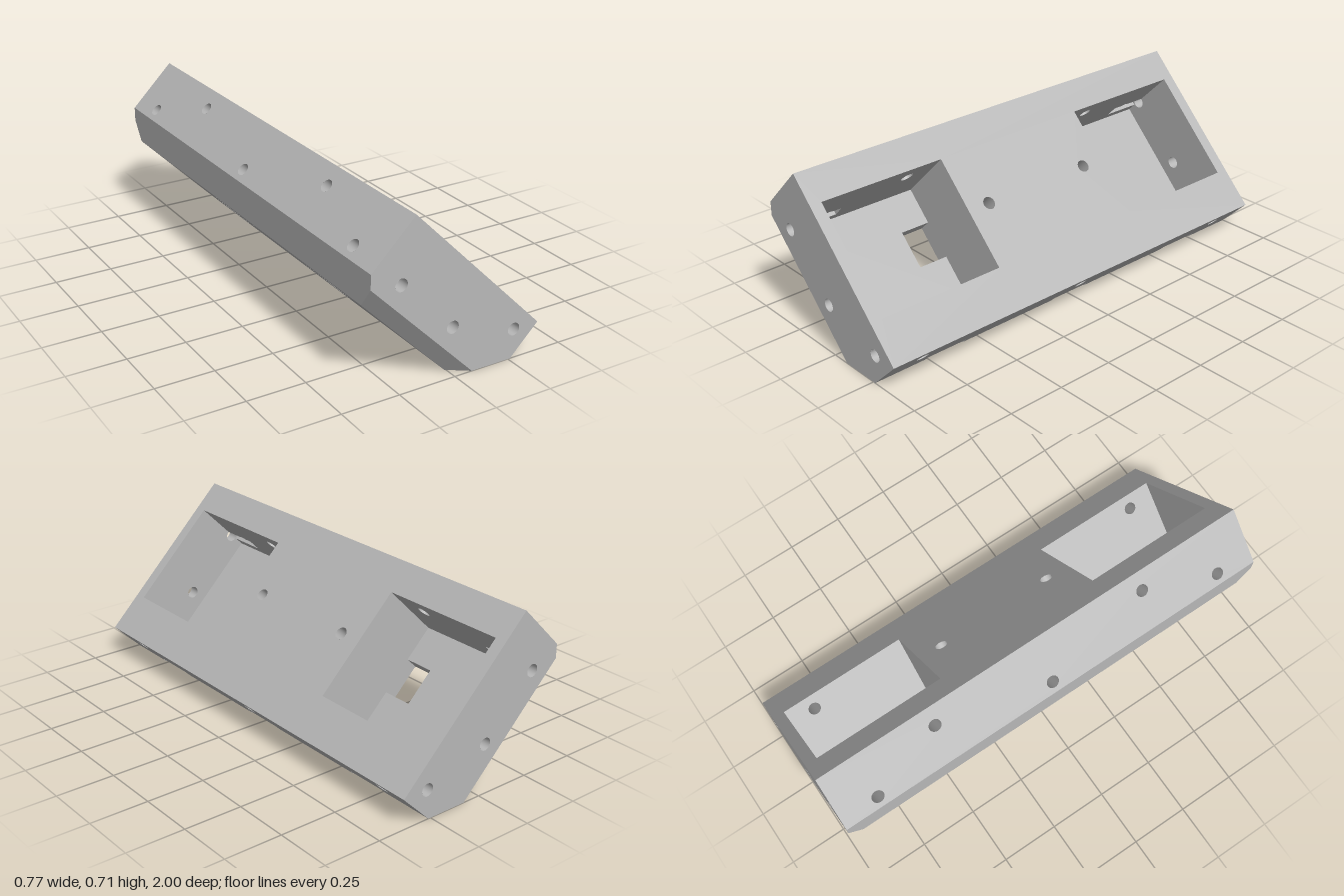
import * as THREE from 'three';

// Local frame: x runs down the tilted slab, y is its thickness, z its length.
const TOP = 0.361, BASE = -0.004, LEFT = -0.643, RIGHT = 0.184, LIP = 0.056;
const R = 0.027;                                               // screw hole radius
const P = { x0: -0.502, x1: -0.0035, y: 0.06, z0: 0.372, z1: 0.948 };  // pocket
const G = { y0: 0.105, y1: 0.167, z0: 0.77, back: -0.572 };    // groove in pocket wall
const SLOT = [-0.343, 0.372, -0.18, 0.508];                    // slot through pocket floor
const NOTCH = { r: 0.095, y: 0.214, z: [-0.667, 0, 0.667] };
const bevelX = (y) => -0.544 - y;

const poly = (pts) => new THREE.Shape(pts.map(([u, v]) => new THREE.Vector2(u, v)));
const rect = (a, b, c, d) => poly([[a, b], [c, b], [c, d], [a, d]]);
const circle = (u, v, r = R) => new THREE.Shape().absarc(u, v, r, 0, Math.PI * 2, false);

export function createModel() {
  const model = new THREE.Group();
  const block = new THREE.Group();
  block.name = 'mountingBlock';
  block.rotation.z = -Math.PI / 4;
  model.add(block);
  const grey = new THREE.MeshStandardMaterial({ color: 0xb8b8b8, side: THREE.DoubleSide });
  grey.name = 'grey';

  const add = (name, geo) => {
    const mesh = new THREE.Mesh(geo, grey);
    mesh.name = name;
    block.add(mesh);
    return mesh;
  };

  // Flat face: a 2D outline with holes, mapped into space and turned to face "out"
  const face = (name, shape, holes, map, out) => {
    shape.holes.push(...holes);
    const geo = new THREE.ShapeGeometry(shape, 16);
    const p = geo.attributes.position;
    for (let i = 0; i < p.count; i++) p.setXYZ(i, ...map(p.getX(i), p.getY(i)));
    geo.computeVertexNormals();
    const n = geo.attributes.normal;
    if (n.getX(0) * out[0] + n.getY(0) * out[1] + n.getZ(0) * out[2] < 0) {
      geo.index.array.reverse();
      geo.computeVertexNormals();
    }
    return add(name, geo);
  };
  const atX = (x, s = 1) => (y, z) => [x, y, z * s];
  const atY = (y, s = 1) => (x, z) => [x, y, z * s];
  const atZ = (z) => (x, y) => [x, y, z];

  // Screw hole lining between two points, with a floor at the second if blind
  const hole = (a, b, blind = false) => {
    const from = new THREE.Vector3(...a), to = new THREE.Vector3(...b);
    const dir = to.clone().sub(from);
    const turn = new THREE.Quaternion().setFromUnitVectors(
      new THREE.Vector3(0, 1, 0), dir.clone().normalize());
    const lining = add('screwHole', new THREE.CylinderGeometry(R, R, dir.length(), 24, 1, true));
    lining.quaternion.copy(turn);
    lining.position.copy(from).addScaledVector(dir, 0.5);
    if (blind) {
      const floor = add('screwHoleFloor', new THREE.CircleGeometry(R, 24).rotateX(Math.PI / 2));
      floor.quaternion.copy(turn);
      floor.position.copy(to);
    }
  };

  // Outer long faces
  const pockets = [1, -1].map((s) => rect(P.x0, P.z0 * s, P.x1, P.z1 * s));
  const mounts = () => [1, -1].map((s) => circle(-0.262, 0.265 * s));
  face('topFace', rect(LEFT, -1, RIGHT, 1), [...pockets, ...mounts()], atY(TOP), [0, 1, 0]);

  const upper = [[0.148, 0], [0.148, 0.83], [0.148, -0.83], [0.276, 0.5], [0.276, -0.5]];
  face('upperEdge', rect(0.099, -1, TOP, 1), upper.map(([y, z]) => circle(y, z)),
    atX(LEFT), [-1, 0, 0]);

  const edge = [[RIGHT, -1]];
  for (const z of NOTCH.z) {
    edge.push([RIGHT, z - NOTCH.r], [NOTCH.y, z - NOTCH.r],
      [NOTCH.y, z + NOTCH.r], [RIGHT, z + NOTCH.r]);
  }
  edge.push([RIGHT, 1], [TOP, 1], [TOP, -1]);
  face('lowerEdge', poly(edge), [0, 0.83, -0.83].map((z) => circle(0.297, z)),
    atX(RIGHT), [1, 0, 0]);

  const foot = new THREE.Shape().moveTo(BASE, -0.94).lineTo(LIP, -1).lineTo(RIGHT, -1);
  for (const z of NOTCH.z) {
    foot.lineTo(RIGHT, z - NOTCH.r);
    foot.absarc(RIGHT, z, NOTCH.r, -Math.PI / 2, -Math.PI * 1.5, true);
  }
  foot.lineTo(RIGHT, 1).lineTo(LIP, 1).lineTo(BASE, 0.94);
  face('footFace', foot, [], (x, z) => [x, x, z], [1, -1, 0]);

  face('upperBevel', poly([[0.099, -1], [LIP, -1], [BASE, -0.94], [BASE, 0.94], [LIP, 1], [0.099, 1]]),
    [], (y, z) => [bevelX(y), y, z], [-1, -1, 0]);

  const slots = [1, -1].map((s) => rect(SLOT[0], SLOT[1] * s, SLOT[2], SLOT[3] * s));
  face('backFace', rect(bevelX(BASE), -0.94, BASE, 0.94), [...slots, ...mounts()],
    atY(BASE), [0, -1, 0]);

  // Half-round notches at the foot
  for (const zc of NOTCH.z) {
    const wall = new THREE.PlaneGeometry(1, 1, 20, 1);
    const p = wall.attributes.position;
    for (let i = 0; i < p.count; i++) {
      const a = Math.PI * (p.getX(i) + 1);
      const x = RIGHT + NOTCH.r * Math.cos(a);
      p.setXYZ(i, x, p.getY(i) > 0 ? NOTCH.y : x, zc + NOTCH.r * Math.sin(a));
    }
    wall.computeVertexNormals();
    add('notchWall', wall);
    face('notchFloor', new THREE.Shape().absarc(RIGHT, zc, NOTCH.r, Math.PI / 2, Math.PI * 1.5, false),
      [], atY(NOTCH.y), [0, -1, 0]);
  }

  // Groove outline with the screw hole bulging above it, or biting into it
  const lift = G.y1 - 0.148, half = Math.sqrt(R * R - lift * lift);
  const keyhole = (bite) => {
    const a = Math.atan2(half, lift);
    const s = new THREE.Shape().moveTo(G.y0, G.z0).lineTo(G.y1, G.z0).lineTo(G.y1, 0.83 - half);
    s.absarc(0.148, 0.83, R, -a, bite ? a - Math.PI * 2 : a, bite);
    return s.lineTo(G.y1, P.z1).lineTo(G.y0, P.z1);
  };

  for (const s of [1, -1]) {
    // End face and its chamfer
    const endHoles = [[-0.4985, 0.138], [-0.02 * 1.414 - 0.138, 0.138], [0.1025, 0.279]];
    face('endFace', poly([[LEFT, TOP], [RIGHT, TOP], [RIGHT, RIGHT], [LIP, LIP],
      [bevelX(LIP), LIP], [LEFT, 0.099]]), endHoles.map(([x, y]) => circle(x, y)), atZ(s), [0, 0, s]);
    face('endChamfer', poly([[bevelX(LIP), LIP], [LIP, LIP], [BASE, BASE], [bevelX(BASE), BASE]]),
      [], (x, y) => [x, y, s * (y > 0 ? 1 : 0.94)], [0, -1, s]);

    // Pocket
    face('pocketFloor', rect(P.x0, P.z0, P.x1, P.z1), [rect(...SLOT)], atY(P.y, s), [0, 1, 0]);
    face('pocketUpperWall', rect(P.y, P.z0, TOP, P.z1), [keyhole(false), circle(0.276, 0.5)],
      atX(P.x0, s), [1, 0, 0]);
    face('pocketLowerWall', rect(P.y, P.z0, TOP, P.z1), [circle(0.297, 0.83)],
      atX(P.x1, s), [-1, 0, 0]);
    face('pocketInnerWall', rect(P.x0, P.y, P.x1, TOP), [], atZ(P.z0 * s), [0, 0, s]);
    face('pocketOuterWall', poly([[P.x0, P.y], [P.x1, P.y], [P.x1, TOP], [P.x0, TOP],
      [P.x0, G.y1], [G.back, G.y1], [G.back, G.y0], [P.x0, G.y0]]),
    endHoles.slice(0, 2).map(([x, y]) => circle(x, y)), atZ(P.z1 * s), [0, 0, -s]);

    // Groove in the upper wall
    face('grooveBack', keyhole(true), [], atX(G.back, s), [1, 0, 0]);
    face('grooveFloor', rect(G.back, G.z0, P.x0, P.z1), [], atY(G.y0, s), [0, 1, 0]);
    face('grooveRoof', rect(G.back, G.z0, P.x0, 0.83 - half), [], atY(G.y1, s), [0, -1, 0]);
    face('grooveRoof', rect(G.back, 0.83 + half, P.x0, P.z1), [], atY(G.y1, s), [0, -1, 0]);
    face('grooveEnd', rect(G.back, G.y0, P.x0, G.y1), [], atZ(G.z0 * s), [0, 0, s]);
    const a = Math.atan2(half, lift);
    const bulge = add('grooveBulge', new THREE.CylinderGeometry(R, R, P.x0 - G.back, 8, 1, true,
      -Math.PI / 2 - a, 2 * a).rotateZ(-Math.PI / 2));
    bulge.position.set((P.x0 + G.back) / 2, 0.148, 0.83 * s);

    // Walls of the slot through the floor
    for (const x of [SLOT[0], SLOT[2]]) {
      face('slotSide', rect(BASE, SLOT[1], P.y, SLOT[3]), [], atX(x, s), [x < -0.3 ? 1 : -1, 0, 0]);
    }
    for (const z of [SLOT[1], SLOT[3]]) {
      face('slotEnd', rect(SLOT[0], BASE, SLOT[2], P.y), [], atZ(z * s), [0, 0, z < 0.4 ? s : -s]);
    }

    // Screw holes on this half
    endHoles.forEach(([x, y], i) => hole([x, y, s], [x, y, s * (i < 2 ? P.z1 : 0.86)], i === 2));
    hole([LEFT, 0.148, 0.83 * s], [G.back, 0.148, 0.83 * s]);
    hole([LEFT, 0.276, 0.5 * s], [P.x0, 0.276, 0.5 * s]);
    hole([RIGHT, 0.297, 0.83 * s], [P.x1, 0.297, 0.83 * s]);
    hole([-0.262, TOP, 0.265 * s], [-0.262, BASE, 0.265 * s]);
  }

  // Blind holes in the middle
  hole([LEFT, 0.148, 0], [LEFT + 0.2, 0.148, 0], true);
  hole([RIGHT, 0.297, 0], [RIGHT - 0.19, 0.297, 0], true);
  return model;
}
